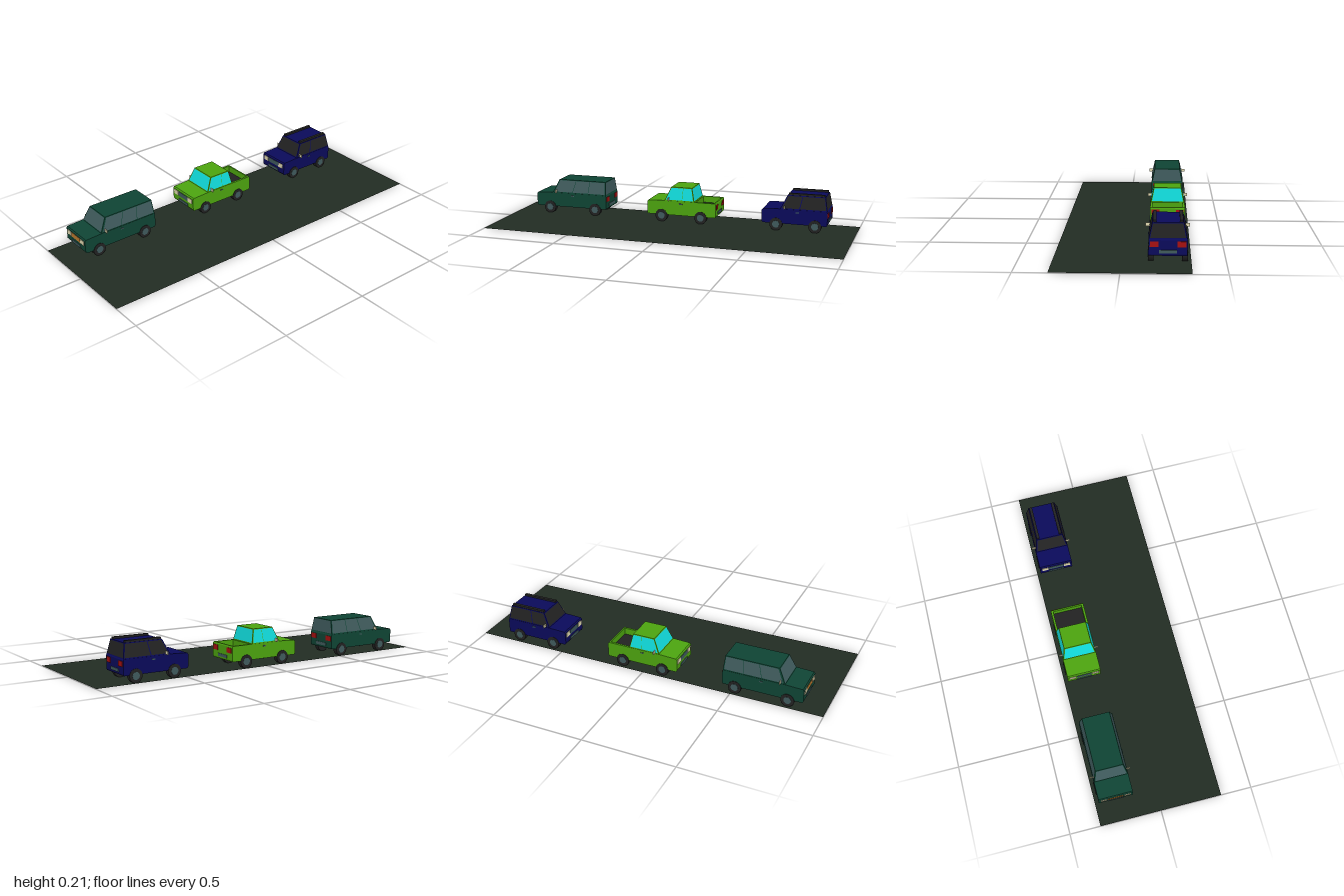
import * as THREE from 'three';

const mat = (name, color) => Object.assign(new THREE.MeshStandardMaterial({ color }), { name });
const M = {
  forest: mat('forest green', 0x0f4434), lime: mat('lime', 0x4ca30f), navy: mat('navy', 0x0a0a5a),
  cyan: mat('cyan glass', 0x10d8d8), slate: mat('slate', 0x3f5a5c), black: mat('black', 0x222222),
  cream: mat('cream', 0xe0d8b0), red: mat('red', 0xa51010), orange: mat('orange', 0xb87a30),
  road: mat('road', 0x222c23),
};
M.road.side = THREE.DoubleSide;

function add(group, name, geo, material, x = 0, y = 0, z = 0) {
  const m = new THREE.Mesh(geo, material);
  m.name = name;
  m.position.set(x, y, z);
  group.add(m);
  return m;
}
const box = (g, name, material, w, h, d, x, y, z) =>
  add(g, name, new THREE.BoxGeometry(w, h, d), material, x, y, z);

// Patch (u0..u1, v0..v1) of a four-cornered face, lifted off along its normal
function patch([a, b, c, d], u0, u1, v0, v1, lift) {
  const at = (u, v) => a.clone().lerp(b, u).lerp(d.clone().lerp(c, u), v);
  const n = b.clone().sub(a).cross(d.clone().sub(a)).normalize().multiplyScalar(lift);
  const p = [at(u0, v0), at(u1, v0), at(u1, v1), at(u0, v1)].map((q) => q.add(n));
  const geo = new THREE.BufferGeometry().setFromPoints([p[0], p[1], p[2], p[0], p[2], p[3]]);
  geo.computeVertexNormals();
  return geo;
}

// Side profile extruded across the car between z0 and z1
function slab(points, z0, z1) {
  const shape = new THREE.Shape(points.map(([x, y]) => new THREE.Vector2(x, y)));
  const geo = new THREE.ExtrudeGeometry(shape, { depth: z1 - z0, bevelEnabled: false });
  return geo.translate(0, 0, z0);
}

const HALF = 0.093, BELT = 0.125, ROOF = 0.202, SILL = 0.042;

function addBody(car, o) {
  const { front: f, rear: r, paint, bed, cabin } = o;
  const start = [[f + 0.006, SILL], [r - 0.004, SILL], [r, SILL + 0.008], [r, BELT - 0.006], [r - 0.004, BELT]];
  const end = [[cabin[0], BELT], [f + 0.006, BELT - 0.004], [f, BELT - 0.012], [f, SILL + 0.008]];
  const plain = slab([...start, ...end], -HALF, HALF);
  if (!bed) {
    add(car, 'body', plain, paint);
    return;
  }
  // Open cargo bed between two side walls
  const [b0, b1] = bed, floor = 0.085, inner = 0.081;
  const notch = [[b1, BELT], [b1, floor], [b0, floor], [b0, BELT]];
  add(car, 'bodyCentre', slab([...start, ...notch, ...end], -inner, inner), paint);
  add(car, 'bodySide', slab([...start, ...end], inner, HALF), paint);
  add(car, 'bodySide', slab([...start, ...end], -HALF, -inner), paint);
  box(car, 'bedLiner', M.black, b1 - b0, 0.004, inner * 2, (b0 + b1) / 2, floor + 0.002, 0);
}

function addCabin(car, { cabin: [fb, ft, rt, rb], paint, glass, panes }) {
  const zb = 0.091, zt = 0.075;
  const lo = (x, s) => new THREE.Vector3(x, BELT, s * zb);
  const hi = (x, s) => new THREE.Vector3(x, ROOF, s * zt);
  const sides = {
    left: [lo(fb, 1), lo(rb, 1), hi(rt, 1), hi(ft, 1)],
    right: [lo(rb, -1), lo(fb, -1), hi(ft, -1), hi(rt, -1)],
    front: [lo(fb, -1), lo(fb, 1), hi(ft, 1), hi(ft, -1)],
    rear: [lo(rb, 1), lo(rb, -1), hi(rt, -1), hi(rt, 1)],
    roof: [hi(ft, 1), hi(rt, 1), hi(rt, -1), hi(ft, -1)],
  };
  for (const [name, face] of Object.entries(sides)) {
    add(car, name + 'CabinPanel', patch(face, 0, 1, 0, 1, 0), paint);
    if (name === 'roof') continue;
    const across = name === 'front' || name === 'rear';
    const spans = across ? [[0.03, 0.97]] : panes;
    for (const [u0, u1] of spans) {
      const [s, e] = name === 'right' ? [1 - u1, 1 - u0] : [u0, u1];
      add(car, name + 'Window', patch(face, s, e, 0.06, 0.94, 0.001), glass);
    }
  }
}

function addWheels(car, xs) {
  const tyre = new THREE.CylinderGeometry(0.036, 0.036, 0.027, 18).rotateX(Math.PI / 2);
  const hub = new THREE.CylinderGeometry(0.02, 0.02, 0.003, 14).rotateX(Math.PI / 2);
  for (const x of xs) for (const s of [-1, 1]) {
    add(car, 'tyre', tyre, M.black, x, 0.037, s * 0.082);
    add(car, 'hubcap', hub, M.slate, x, 0.037, s * 0.0955);
  }
}

function addTrim(car, { front: f, rear: r, cabin, mirror, handle, lamp, grille }) {
  box(car, 'frontPlate', M.slate, 0.004, 0.016, 0.085, f - 0.001, 0.06, 0);
  box(car, 'rearPlate', M.slate, 0.004, 0.016, 0.085, r + 0.001, 0.063, 0);
  box(car, 'grille', grille, 0.003, 0.026, 0.084, f - 0.0005, 0.097, 0);
  for (const s of [-1, 1]) {
    box(car, 'headlight', lamp, 0.004, 0.026, 0.036, f - 0.001, 0.097, s * 0.064);
    box(car, 'tailLight', M.red, 0.004, 0.027, 0.042, r + 0.001, 0.1, s * 0.065);
    box(car, 'doorHandle', M.slate, 0.018, 0.006, 0.004, handle, 0.109, s * 0.094);
    box(car, 'mirror', M.cream, 0.004, 0.017, 0.022, mirror, 0.134, s * 0.099);
  }
}

function makeCar(name, o) {
  const car = new THREE.Group();
  car.name = name;
  addBody(car, o);
  addCabin(car, o);
  addWheels(car, o.wheels);
  addTrim(car, o);
  // Roof rails
  if (o.rails) for (const s of [-1, 1]) {
    const [, x0, x1] = o.cabin;
    box(car, 'roofRail', M.black, x1 - x0 - 0.01, 0.01, 0.016, (x0 + x1) / 2, ROOF + 0.005, s * 0.064);
  }
  car.position.z = -0.2205;
  return car;
}

export function createModel() {
  const model = new THREE.Group();
  model.name = 'parkedCars';

  // Ground sheet, with the tyres just breaking through
  add(model, 'ground', new THREE.PlaneGeometry(2, 0.667).rotateX(-Math.PI / 2), M.road, 0, 0.003, 0);

  // Cabin is [front base, front top, rear top, rear base] along x
  model.add(makeCar('van', {
    front: -0.888, rear: -0.449, paint: M.forest, glass: M.slate, lamp: M.cream, grille: M.orange,
    cabin: [-0.787, -0.749, -0.457, -0.451], wheels: [-0.805, -0.519],
    panes: [[0.03, 0.365], [0.375, 0.66], [0.67, 0.98]], mirror: -0.762, handle: -0.66,
  }));
  model.add(makeCar('pickup', {
    front: -0.193, rear: 0.214, paint: M.lime, glass: M.cyan, lamp: M.cream, grille: M.slate,
    cabin: [-0.088, -0.053, 0.07, 0.087], wheels: [-0.107, 0.126], bed: [0.095, 0.202],
    panes: [[0.03, 0.58], [0.595, 0.97]], mirror: -0.063, handle: 0.01,
  }));
  model.add(makeCar('wagon', {
    front: 0.48, rear: 0.845, paint: M.navy, glass: M.black, lamp: M.cream, grille: M.slate,
    cabin: [0.583, 0.62, 0.829, 0.843], wheels: [0.561, 0.778],
    panes: [[0.03, 0.4], [0.42, 0.98]], mirror: 0.607, handle: 0.68, rails: true,
  }));
  return model;
}
